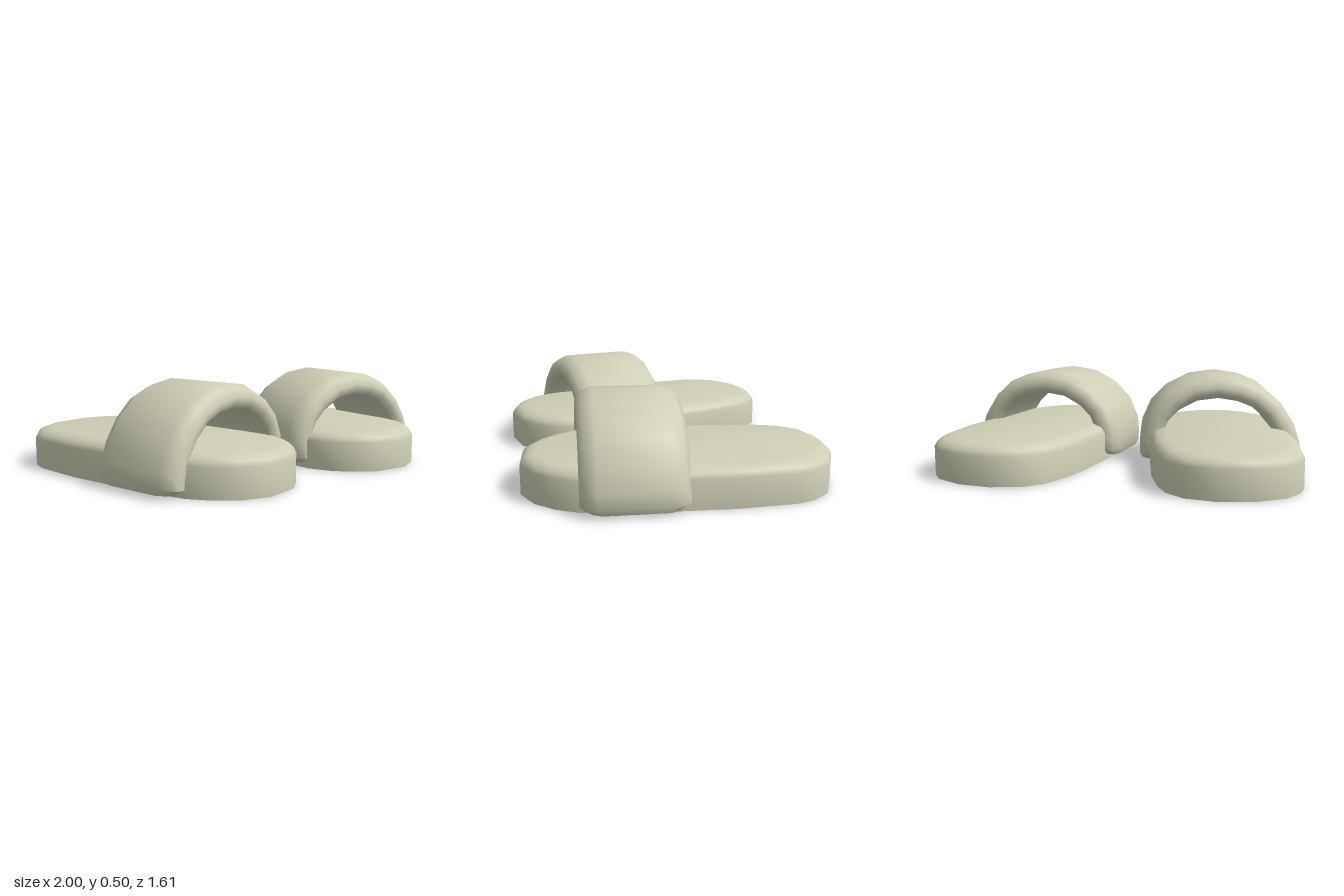
import * as THREE from 'three';
import { toCreasedNormals } from 'three/addons/utils/BufferGeometryUtils.js';

const material = new THREE.MeshStandardMaterial({ color: 0xcfcfb6 });
const CENTRE_X = 0.535;

// Skin through equal-length rings of [x, y, z], closed by a cap at each end.
function loft(rings, mirrored) {
  if (mirrored) rings = rings.map(r => r.map(([x, y, z]) => [-x, y, z]).reverse());
  const n = rings[0].length, last = rings.length - 1;
  const points = rings.flat();
  const index = [];
  for (let r = 0; r < last; r++) {
    for (let i = 0; i < n; i++) {
      const a = r * n + i, b = r * n + (i + 1) % n;
      index.push(a, a + n, b + n, a, b + n, b);
    }
  }
  for (const r of [0, last]) {
    const c = points.length;
    points.push([0, 1, 2].map(k => rings[r].reduce((s, p) => s + p[k], 0) / n));
    for (let i = 0; i < n; i++) {
      const a = r * n + i, b = r * n + (i + 1) % n;
      index.push(...(r ? [c, b, a] : [c, a, b]));
    }
  }
  const geometry = new THREE.BufferGeometry();
  geometry.setAttribute('position', new THREE.Float32BufferAttribute(points.flat(), 3));
  geometry.setIndex(index);
  return toCreasedNormals(geometry, 0.9);
}

// Sole: foot outline (x, z) raised with a rounded upper rim.
const outline = [
  [0.53, -0.805], [0.71, -0.785], [0.86, -0.705], [0.93, -0.61], [0.96, -0.51],
  [0.96, -0.21], [0.93, 0.06], [0.9, 0.32], [0.85, 0.53], [0.78, 0.65], [0.69, 0.74],
  [0.55, 0.8], [0.35, 0.775], [0.24, 0.7], [0.16, 0.605], [0.11, 0.48],
  [0.11, 0.25], [0.14, -0.04], [0.18, -0.35], [0.23, -0.55], [0.28, -0.67], [0.375, -0.765],
];
const soleProfile = [[0, 0], [0, 0.155], [0.012, 0.18], [0.04, 0.199], [0.085, 0.208]]; // inset, height

function soleGeometry(mirrored) {
  return loft(soleProfile.map(([inset, y]) => outline.map(([x, z]) =>
    [(x - CENTRE_X) * (1 - inset / 0.425), y, z * (1 - inset / 0.8)])), mirrored);
}

// Strap: rounded band section swept along an arch, turned slightly across the foot.
const arch = [
  [0.06, 0.02], [0.057, 0.05], [0.055, 0.12], [0.062, 0.2], [0.115, 0.32], [0.21, 0.415],
  [0.345, 0.484], [0.5, 0.505], [0.64, 0.484], [0.757, 0.436], [0.86, 0.345],
  [0.935, 0.23], [0.972, 0.12], [0.98, 0.05], [0.98, 0.02],
];
const THICK = 0.125, TURN = 0.09;
const halfSection = [[0.235, 0], [0.258, 0.025], [0.262, 0.06], [0.235, 0.1], [0.18, THICK]];
const section = [
  [-0.235, 0], ...halfSection,
  ...halfSection.slice(1).reverse().map(([w, h]) => [-w, h]),
];

function strapGeometry(mirrored) {
  const end = arch.length - 1;
  const rings = arch.map(([x, y], k) => {
    const p = arch[Math.max(k - 1, 0)], q = arch[Math.min(k + 1, end)];
    const t = new THREE.Vector2(q[0] - p[0], q[1] - p[1]).normalize();
    const shrink = k === 0 || k === end ? 0.86 : 1; // rounded foot of the strap
    return section.map(([w, h]) => {
      const depth = (h - THICK / 2) * shrink - THICK / 2;
      const px = x - t.y * depth, pw = w * shrink;
      return [px - TURN * pw - CENTRE_X, y + t.x * depth, 0.25 + pw + TURN * (px - 0.52)];
    });
  });
  return loft(rings, mirrored);
}

function makeSandal(name, mirrored) {
  const sandal = new THREE.Group();
  sandal.name = name;
  const parts = { sole: soleGeometry(mirrored), strap: strapGeometry(mirrored) };
  for (const [part, geometry] of Object.entries(parts)) {
    const mesh = new THREE.Mesh(geometry, material);
    mesh.name = part;
    sandal.add(mesh);
  }
  return sandal;
}

export function createModel() {
  const model = new THREE.Group();
  model.name = 'sandals';
  const left = makeSandal('leftSandal', false);
  left.position.x = CENTRE_X;
  // The right sandal is the mirrored left one, toed in a little more.
  const right = makeSandal('rightSandal', true);
  right.position.x = -0.528;
  right.rotation.y = 0.11;
  model.add(left, right);
  return model;
}
